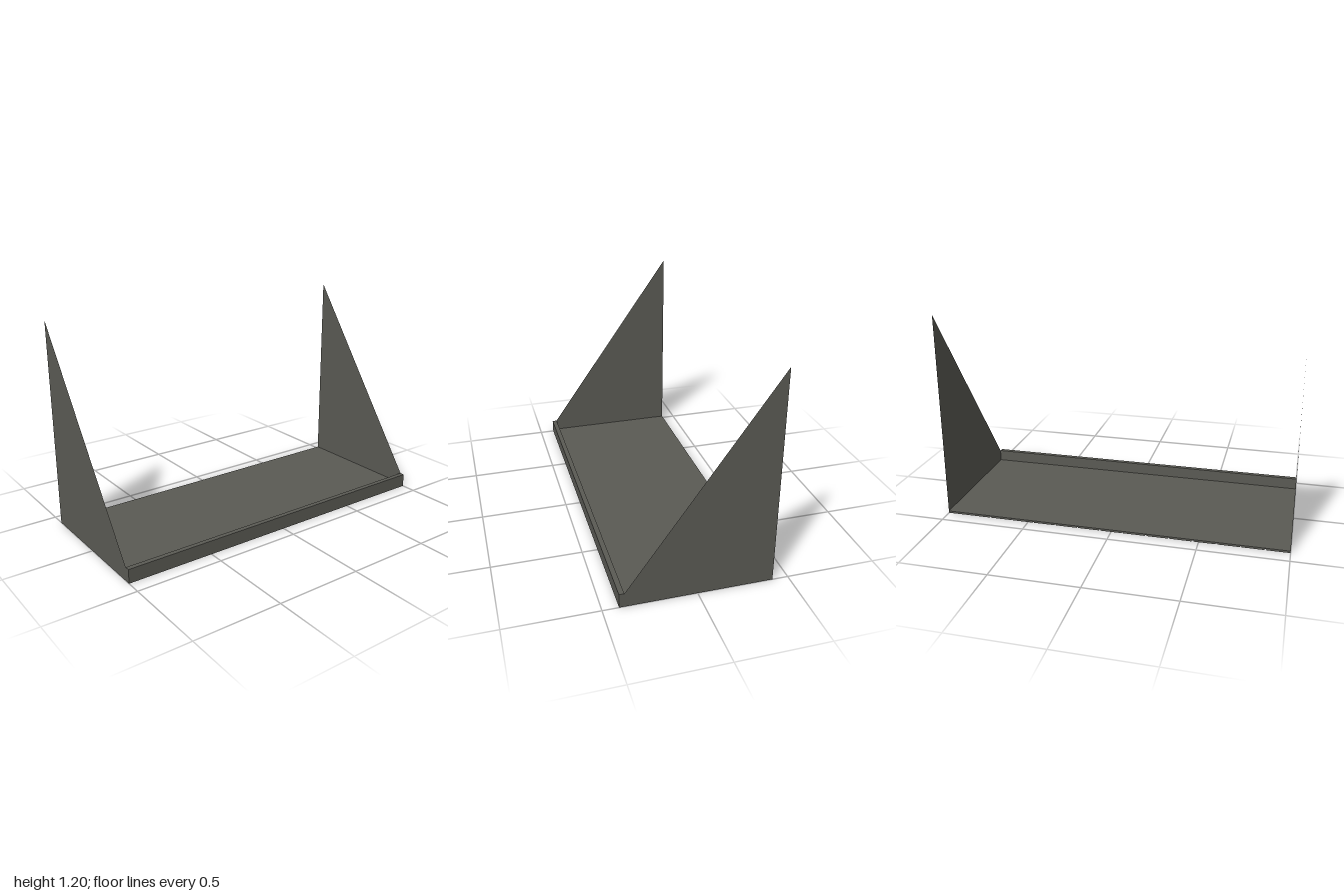
import * as THREE from 'three';

const BACK = -0.413, FRONT = 0.413, LIP_BACK = 0.385, LIP_TOP = 0.08;

export function createModel() {
  const model = new THREE.Group();
  const metal = new THREE.MeshStandardMaterial({ color: 0x5a5a54, side: THREE.DoubleSide });
  metal.name = 'dark grey metal';

  const box = (name, x0, x1, y0, y1, z0, z1) => {
    const mesh = new THREE.Mesh(new THREE.BoxGeometry(x1 - x0, y1 - y0, z1 - z0), metal);
    mesh.position.set((x0 + x1) / 2, (y0 + y1) / 2, (z0 + z1) / 2);
    mesh.name = name;
    model.add(mesh);
  };

  // Shelf deck and raised front lip
  box('deck', -1, 1, 0.006, 0.012, BACK, LIP_BACK);
  box('frontLip', -1, 1, 0, LIP_TOP, LIP_BACK, FRONT);

  // Underside slats separated by narrow grooves
  const count = 15, pitch = 2 / count, gap = 0.01;
  for (let i = 0; i < count; i++) {
    const x0 = -1 + i * pitch + (i > 0 ? gap / 2 : 0);
    const x1 = -1 + (i + 1) * pitch - (i < count - 1 ? gap / 2 : 0);
    box('undersideSlat', x0, x1, 0, 0.006, BACK, LIP_BACK);
  }

  // Sheet-thin triangular end panels; shape x maps to -z
  const outline = new THREE.Shape([
    [-LIP_BACK, 0], [-BACK, 0], [-BACK, 1.2], [-LIP_BACK, LIP_TOP],
  ].map(([x, y]) => new THREE.Vector2(x, y)));
  const panelGeometry = new THREE.ShapeGeometry(outline).rotateY(Math.PI / 2);
  for (const [name, x] of [['leftPanel', 1], ['rightPanel', -1]]) {
    const panel = new THREE.Mesh(panelGeometry, metal);
    panel.position.x = x;
    panel.name = name;
    model.add(panel);
  }

  return model;
}
